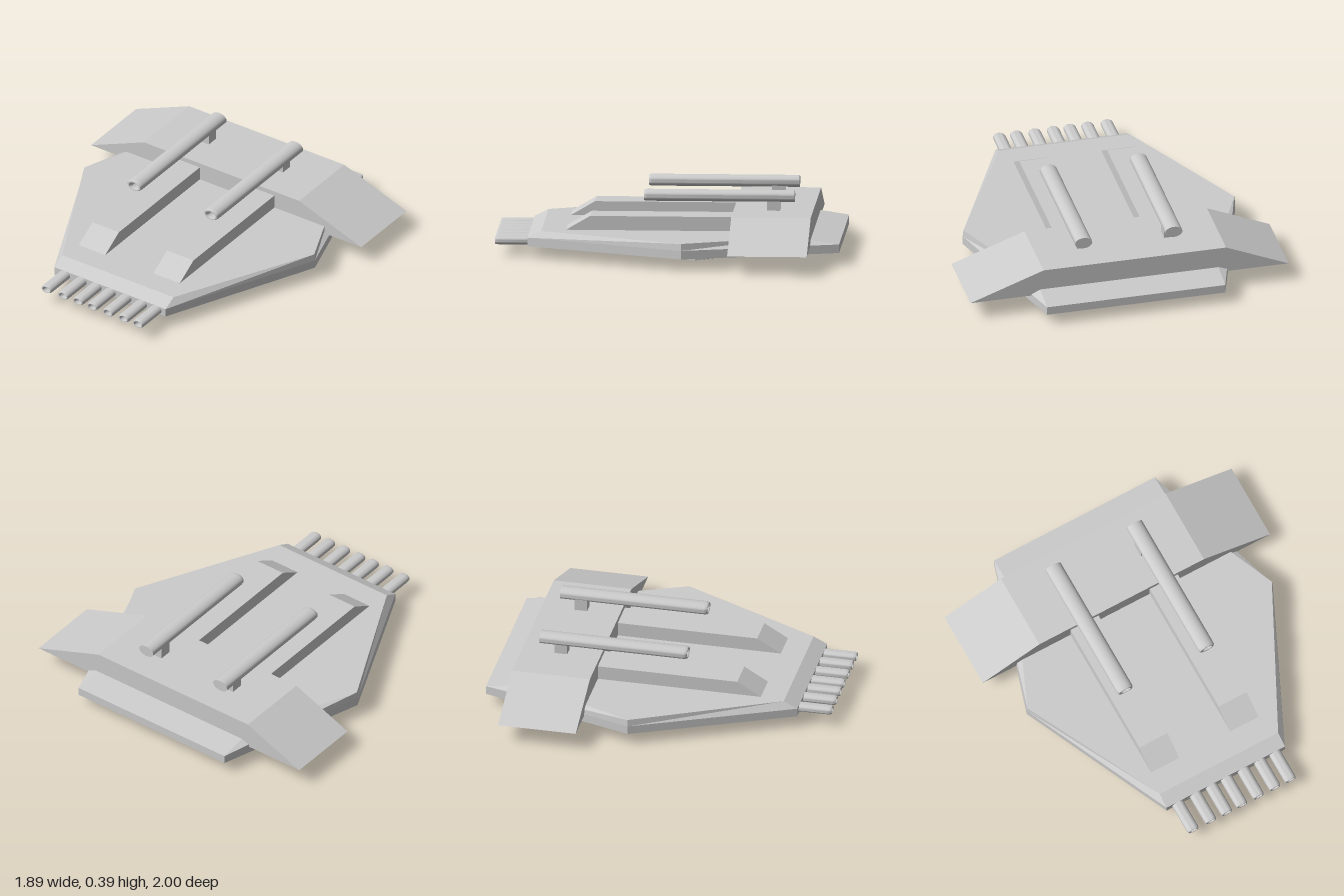
import * as THREE from 'three';
import { toCreasedNormals } from 'three/addons/utils/BufferGeometryUtils.js';

const flatGrey = new THREE.MeshStandardMaterial({ color: 0xcccccc, flatShading: true });
const smoothGrey = new THREE.MeshStandardMaterial({ color: 0xcccccc });

function add(group, name, geometry, material = flatGrey) {
  const mesh = new THREE.Mesh(geometry, material);
  mesh.name = name;
  group.add(mesh);
  return mesh;
}

// Hexagon mirrored in x, from its front, widest and back [halfWidth, y, z]
function hexRing(front, middle, back) {
  const left = ([x, y, z]) => [-x, y, z];
  return [left(front), front, middle, back, left(back), left(middle)];
}

// Solid skinned over hexagon rings listed from bottom to top
function loftHexagons(rings) {
  const positions = [];
  const quad = (a, b, c, d) => positions.push(...a, ...b, ...c, ...a, ...c, ...d);
  for (let r = 0; r < rings.length - 1; r++) {
    const low = rings[r], high = rings[r + 1];
    for (let i = 0; i < 6; i++) {
      const j = (i + 1) % 6;
      quad(low[i], low[j], high[j], high[i]);
    }
  }
  const b = rings[0], t = rings[rings.length - 1];
  quad(b[5], b[2], b[1], b[0]);
  quad(b[4], b[3], b[2], b[5]);
  quad(t[0], t[1], t[2], t[5]);
  quad(t[5], t[2], t[3], t[4]);
  const geometry = new THREE.BufferGeometry();
  geometry.setAttribute('position', new THREE.Float32BufferAttribute(positions, 3));
  geometry.computeVertexNormals();
  return geometry;
}

function extrude(points, depth) {
  const shape = new THREE.Shape(points.map(([x, y]) => new THREE.Vector2(x, y)));
  return new THREE.ExtrudeGeometry(shape, { depth, bevelEnabled: false });
}

// Oval barrel along z with a rounded muzzle and a bore, its back end at z = 0
function barrelGeometry(halfWidth, halfHeight, length, boreDepth) {
  const profile = [
    [0, 0], [1, 0], [1, length - 0.02], [0.96, length - 0.007], [0.86, length],
    [0.68, length], [0.58, length - 0.01], [0.55, length - 0.02],
    [0.55, length - boreDepth], [0, length - boreDepth],
  ].map(([r, y]) => new THREE.Vector2(r * halfHeight, y));
  const geometry = new THREE.LatheGeometry(profile, 24);
  geometry.rotateX(Math.PI / 2);
  geometry.scale(halfWidth / halfHeight, 1, 1);
  return toCreasedNormals(geometry, 0.9);
}

export function createModel() {
  const model = new THREE.Group();
  model.name = 'hoverCraft';

  // Main hull: upright wall with a bevelled deck edge
  add(model, 'hull', loftHexagons([
    hexRing([0.39, 0.07, 0.81], [0.81, 0.07, -0.1], [0.53, 0.07, -1]),
    hexRing([0.39, 0.12, 0.81], [0.81, 0.12, -0.1], [0.53, 0.12, -1]),
    hexRing([0.39, 0.16, 0.73], [0.805, 0.16, -0.1], [0.53, 0.16, -0.74]),
  ]));

  // Faceted belly keel
  add(model, 'belly', loftHexagons([
    hexRing([0.27, 0.035, 0.25], [0.415, 0, -0.16], [0.27, 0.025, -0.53]),
    hexRing([0.27, 0.07, 0.41], [0.415, 0.07, -0.16], [0.27, 0.07, -0.77]),
  ]));

  // Wing across the rear deck
  const wing = extrude([[-0.947, 0.112], [0.945, 0.112], [0.51, 0.27], [-0.575, 0.27]], 0.46);
  wing.translate(0, 0, -0.835);
  add(model, 'wing', wing);

  // Deck rails with sloped noses, running under the wing
  for (const [side, x] of [['right', -0.185], ['left', 0.337]]) {
    const rail = extrude([[-0.6, 0.15], [0.59, 0.15], [0.59, 0.16], [0.45, 0.242], [-0.6, 0.242]], 0.185);
    rail.rotateY(-Math.PI / 2);
    rail.translate(x, 0, 0);
    add(model, `${side}DeckRail`, rail);
  }

  // Long guns on short pylons
  const longBarrel = barrelGeometry(0.051, 0.034, 0.87, 0.12);
  for (const [side, x, pylonX] of [['right', -0.291, -0.287], ['left', 0.245, 0.232]]) {
    const gun = new THREE.Group();
    gun.name = `${side}Gun`;
    add(gun, 'gunBarrel', longBarrel, smoothGrey).position.set(x, 0.354, -0.728);
    add(gun, 'gunPylon', new THREE.BoxGeometry(0.065, 0.08, 0.075)).position.set(pylonX, 0.3, -0.605);
    model.add(gun);
  }

  // Row of short tubes on the bow
  const bowTube = barrelGeometry(0.037, 0.025, 0.2, 0.08);
  [-0.316, -0.2, -0.095, 0.004, 0.114, 0.223, 0.324].forEach((x, i) => {
    add(model, `bowTube${i + 1}`, bowTube, smoothGrey).position.set(x, 0.095, 0.8);
  });

  return model;
}
